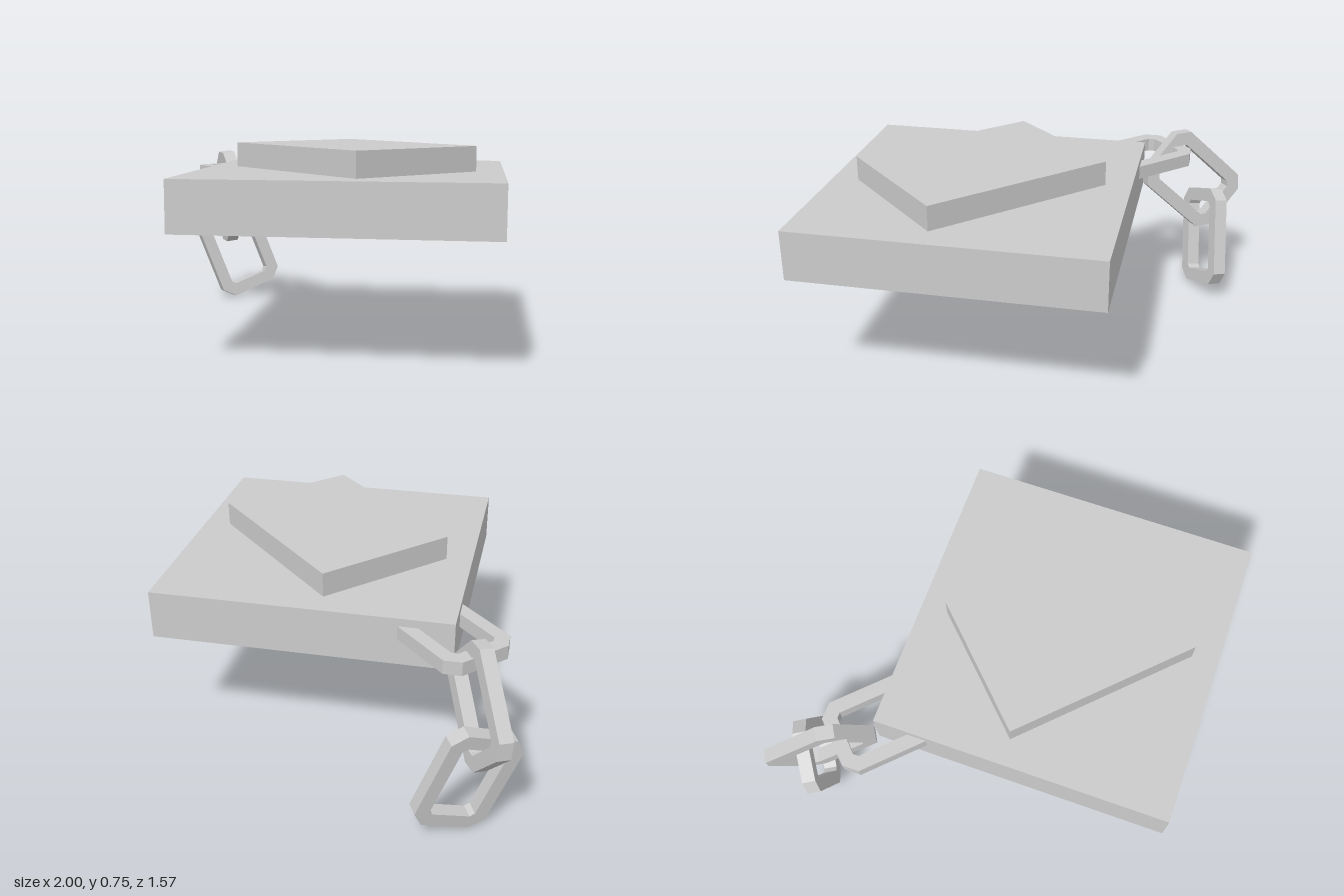
import * as THREE from 'three';

// Rectangle with chamfered corners, added to a Shape or Path
function chamferedRect(path, length, width, c) {
  const x = length / 2, y = width / 2;
  const corners = [[x - c, -y], [x, c - y], [x, y - c], [x - c, y], [c - x, y], [-x, y - c], [-x, c - y], [c - x, -y]];
  path.setFromPoints(corners.map(([a, b]) => new THREE.Vector2(a, b)));
  return path;
}

export function createModel() {
  const model = new THREE.Group();
  const grey = new THREE.MeshStandardMaterial({ color: 0xcbcbcb });
  grey.name = 'light grey';

  function add(name, geometry, x, y, z) {
    const mesh = new THREE.Mesh(geometry, grey);
    mesh.name = name;
    mesh.position.set(x, y, z);
    model.add(mesh);
    return mesh;
  }

  // Square slab turned on its corner, with a rectangular plate on top
  add('baseSlab', new THREE.BoxGeometry(1.11, 0.184, 1.11), 0.215, 0.562, 0).rotation.y = Math.PI / 4;
  add('topPlate', new THREE.BoxGeometry(0.74, 0.092, 0.55), 0.215, 0.7, 0);

  // One angular chain link: long side on x, short side on y
  const bar = 0.052, length = 0.403, width = 0.285, chamfer = 0.046;
  const outline = chamferedRect(new THREE.Shape(), length, width, chamfer);
  outline.holes.push(chamferedRect(new THREE.Path(), length - 2 * bar, width - 2 * bar, chamfer - 0.586 * bar));
  const linkGeometry = new THREE.ExtrudeGeometry(outline, { depth: bar, bevelEnabled: false });
  linkGeometry.translate(0, 0, -bar / 2);

  // Each link is placed by its centre, long direction and short direction
  const links = [
    ['anchorLink', [-0.533, 0.598, 0], [1, 0, 0], [0, 0, -1]],
    ['middleLink', [-0.785, 0.467, -0.058], [0.275, 0.27, 0.1], [0.195, -0.2, 0.03]],
    ['endLink', [-0.822, 0.218, -0.125], [0.08, -0.36, -0.113], [0.06, 0.09, -0.25]],
  ];
  for (const [name, centre, long, short] of links) {
    const u = new THREE.Vector3(...long).normalize();
    const n = new THREE.Vector3().crossVectors(u, new THREE.Vector3(...short)).normalize();
    const v = new THREE.Vector3().crossVectors(n, u);
    const link = add(name, linkGeometry, ...centre);
    link.quaternion.setFromRotationMatrix(new THREE.Matrix4().makeBasis(u, v, n));
  }
  return model;
}
